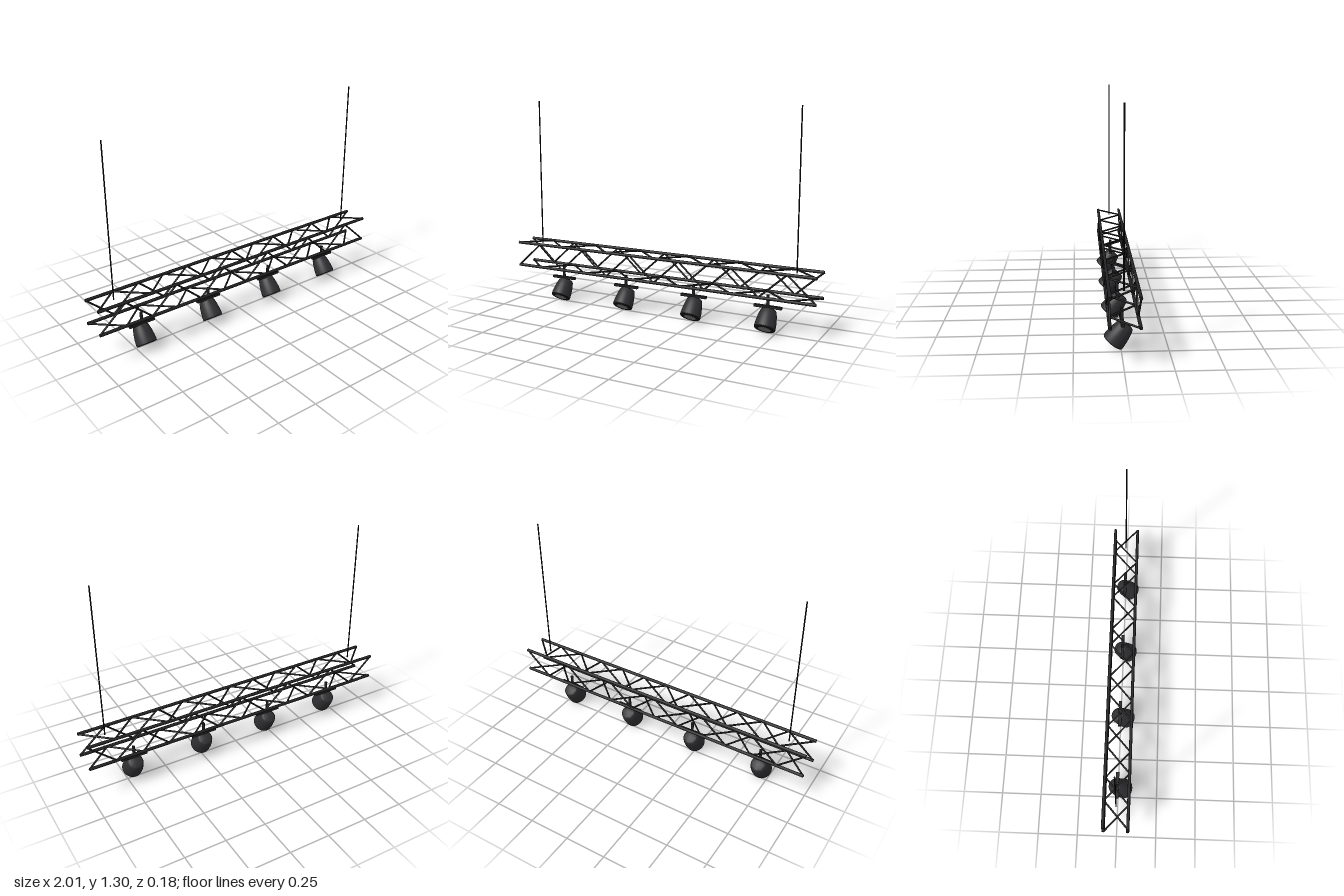
import * as THREE from 'three';
import { toCreasedNormals } from 'three/addons/utils/BufferGeometryUtils.js';

const mat = (color) => new THREE.MeshStandardMaterial({ color });
const V = (x, y, z) => new THREE.Vector3(x, y, z);

// Round bar between two points
function rod(name, a, b, radius, material, sides = 8) {
  const dir = b.clone().sub(a);
  const mesh = new THREE.Mesh(new THREE.CylinderGeometry(radius, radius, dir.length(), sides), material);
  mesh.position.copy(a).add(b).multiplyScalar(0.5);
  mesh.quaternion.setFromUnitVectors(V(0, 1, 0), dir.normalize());
  mesh.name = name;
  return mesh;
}

export function createModel() {
  const model = new THREE.Group();
  model.name = 'lightingTruss';
  const steel = mat(0x232325), cableMat = mat(0x161618), body = mat(0x2e2e31);
  const rimMat = mat(0x18181a), lensMat = mat(0x77777a);
  const midZ = -0.005, half = 0.075, low = 0.227, high = 0.377;

  // Four long chords, in order around the square section
  const truss = new THREE.Group();
  truss.name = 'truss';
  const corners = [[low, midZ + half], [high, midZ + half], [high, midZ - half], [low, midZ - half]];
  for (const [y, z] of corners) {
    truss.add(rod('chord', V(-1, y, z), V(1, y, z), 0.0095, steel, 12));
  }

  // Zigzag bracing on each of the four faces
  const bays = 12, step = 2 / bays;
  corners.forEach((c, f) => {
    const ends = [c, corners[(f + 1) % 4]];
    for (let i = 0; i < bays; i++) {
      const [a, b] = [ends[i % 2], ends[(i + 1) % 2]];
      const x = -1 + i * step;
      truss.add(rod('brace', V(x, ...a), V(x + step, ...b), 0.0055, steel));
    }
  });
  model.add(truss);

  // Suspension cables
  for (const x of [-0.865, 0.865]) {
    model.add(rod('cable', V(x, high - 0.005, midZ), V(x, 1.3, midZ), 0.004, cableMat));
  }

  // Spotlight housing: tapered can with a rounded back
  const profile = [
    [0, 0], [0.059, 0], [0.062, 0.003], [0.062, 0.012], [0.06, 0.04], [0.055, 0.075],
    [0.047, 0.108], [0.042, 0.116], [0.036, 0.119], [0, 0.121],
  ].map(([r, y]) => new THREE.Vector2(r, y));
  const canGeo = toCreasedNormals(new THREE.LatheGeometry(profile, 32), 0.6);

  for (const x of [-0.7, -0.233, 0.233, 0.7]) {
    const lamp = new THREE.Group();
    lamp.name = 'spotlight';
    lamp.position.x = x;
    lamp.add(rod('stem', V(0, low, midZ), V(0, 0.15, midZ), 0.009, steel, 12));

    const bar = new THREE.Mesh(new THREE.BoxGeometry(0.166, 0.015, 0.02), steel);
    bar.name = 'crossBar';
    bar.position.set(0, 0.157, midZ);
    lamp.add(bar);

    // Head tilted forward and down
    const head = new THREE.Group();
    head.name = 'lampHead';
    head.position.set(0, 0.038, 0.043);
    head.rotation.x = -0.65;
    const can = new THREE.Mesh(canGeo, body);
    can.name = 'housing';
    const face = new THREE.Mesh(new THREE.CylinderGeometry(0.058, 0.058, 0.002, 32), rimMat);
    face.name = 'frontBezel';
    const lens = new THREE.Mesh(new THREE.CylinderGeometry(0.037, 0.037, 0.002, 32), lensMat);
    lens.name = 'lens';
    lens.position.y = -0.001;
    head.add(can, face, lens);
    lamp.add(head);
    model.add(lamp);
  }
  return model;
}
